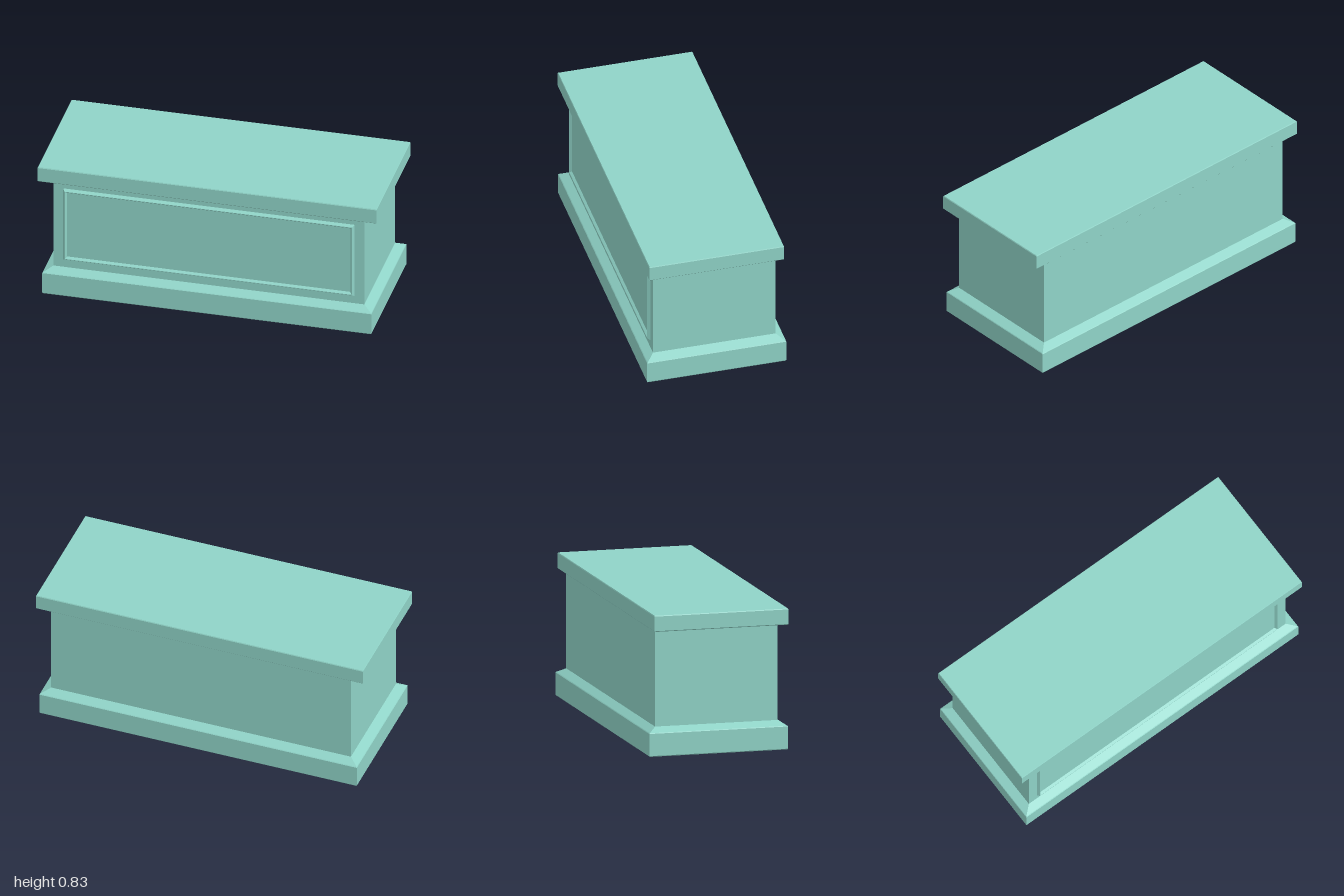
import * as THREE from 'three';

// Closed solid through rectangular sections [half width, half depth, height].
function rectLoft(sections, capBottom = true) {
  const corners = sections.map(([w, d, y]) => [[-w, y, d], [w, y, d], [w, y, -d], [-w, y, -d]]);
  const pos = [];
  const quad = (a, b, c, d) => pos.push(...a, ...b, ...c, ...a, ...c, ...d);
  for (let i = 0; i < corners.length - 1; i++) {
    const lo = corners[i], hi = corners[i + 1];
    for (let k = 0; k < 4; k++) {
      const n = (k + 1) % 4;
      quad(lo[k], lo[n], hi[n], hi[k]);
    }
  }
  quad(...corners[corners.length - 1]);
  if (capBottom) quad(...[...corners[0]].reverse());
  const geo = new THREE.BufferGeometry();
  geo.setAttribute('position', new THREE.Float32BufferAttribute(pos, 3));
  geo.computeVertexNormals();
  return geo;
}

export function createModel() {
  const group = new THREE.Group();
  const material = new THREE.MeshStandardMaterial({ color: 0x8fd3c7 });
  const add = (name, geometry) => {
    const mesh = new THREE.Mesh(geometry, material);
    mesh.name = name;
    group.add(mesh);
    return mesh;
  };

  // Plinth with a sloped upper edge meeting the body
  add('plinth', rectLoft([
    [0.968, 0.409, 0], [0.971, 0.413, 0.005], [0.971, 0.413, 0.134],
    [0.968, 0.409, 0.138], [0.917, 0.364, 0.165],
  ]));

  // Main body
  add('body', rectLoft([[0.917, 0.364, 0.165], [0.917, 0.364, 0.733]]));

  // Overhanging top slab with slightly eased edges
  add('topSlab', rectLoft([
    [0.995, 0.395, 0.732], [1, 0.4, 0.737], [1, 0.4, 0.822], [0.997, 0.397, 0.827],
  ])).position.z = 0.008;

  // Front panel: a bevelled moulding rising from the body around a sunken field
  const panel = add('frontPanel', rectLoft([
    [0.86, 0.235, 0], [0.849, 0.224, 0.017], [0.845, 0.22, 0.017], [0.835, 0.21, 0.003],
  ], false));
  panel.rotation.x = Math.PI / 2;
  panel.position.set(0, 0.448, 0.364);

  return group;
}
